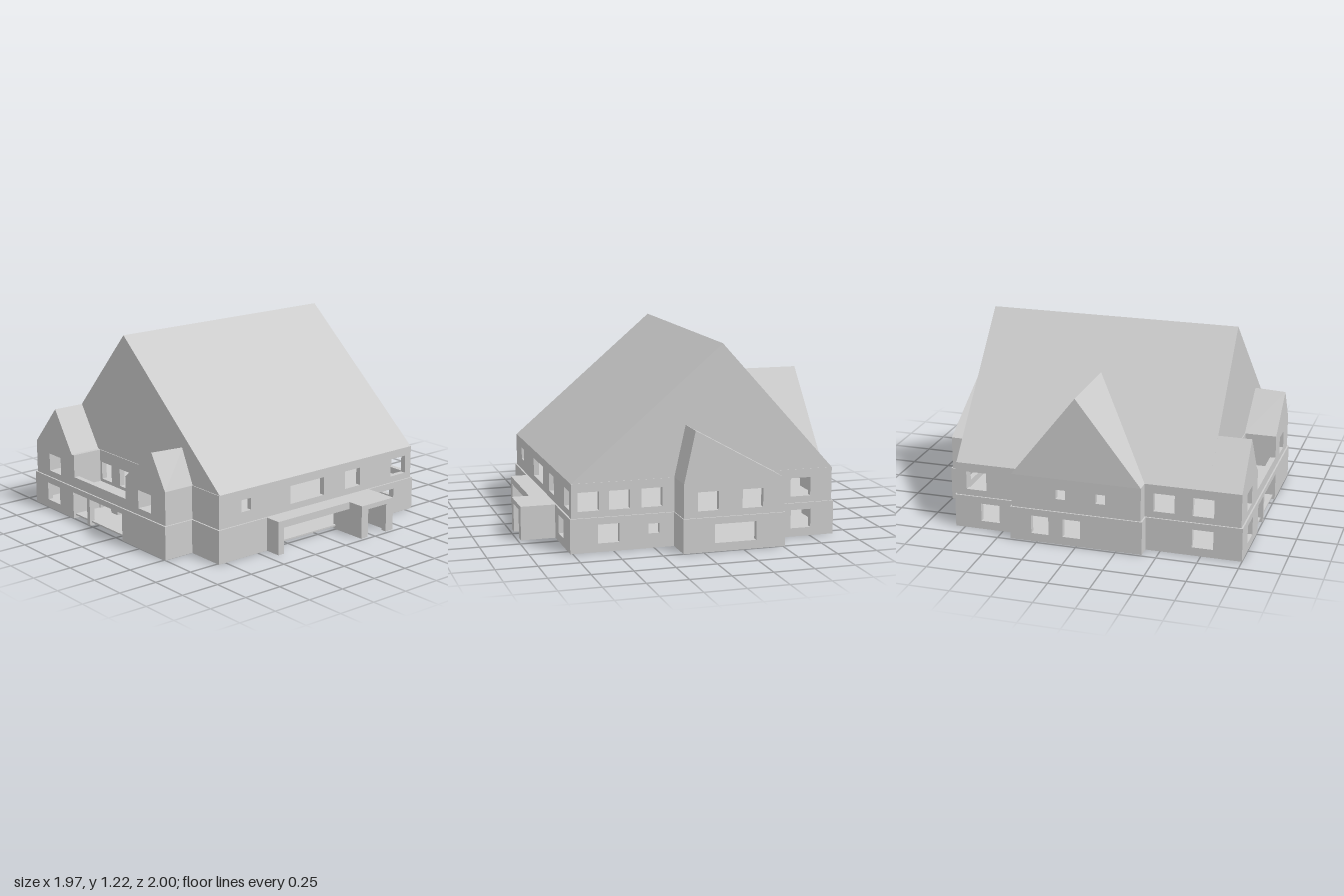
import * as THREE from 'three';
import { ConvexGeometry } from 'three/addons/geometries/ConvexGeometry.js';

const T = 0.035; // wall thickness
const mat = new THREE.MeshStandardMaterial({ color: 0xcccccc, flatShading: true });

export function createModel() {
  const house = new THREE.Group();
  house.name = 'house';

  const add = (name, geometry) => {
    const mesh = new THREE.Mesh(geometry, mat);
    mesh.name = name;
    house.add(mesh);
    return mesh;
  };

  // Wall panel from u0 to u1; openings are [u0, u1, y0, y1], those reaching the base become doorways
  const panel = (u0, u1, y0, y1, openings) => {
    const shape = new THREE.Shape();
    shape.moveTo(u0, y0);
    const sorted = [...openings].sort((a, b) => a[0] - b[0]);
    for (const [a, b, c, d] of sorted) {
      if (c <= y0) {
        shape.lineTo(a, y0);
        shape.lineTo(a, d);
        shape.lineTo(b, d);
        shape.lineTo(b, y0);
      } else {
        const hole = new THREE.Path();
        hole.moveTo(a, c);
        hole.lineTo(a, d);
        hole.lineTo(b, d);
        hole.lineTo(b, c);
        hole.closePath();
        shape.holes.push(hole);
      }
    }
    shape.lineTo(u1, y0);
    shape.lineTo(u1, y1);
    shape.lineTo(u0, y1);
    shape.closePath();
    return new THREE.ExtrudeGeometry(shape, { depth: T, bevelEnabled: false });
  };
  // facing = +1 or -1: the side of the wall that is outdoors, lying at the given coordinate
  const wallX = (name, x0, x1, z, facing, y0, y1, openings = []) =>
    add(name, panel(x0, x1, y0, y1, openings).translate(0, 0, facing > 0 ? z - T : z));
  const wallZ = (name, z0, z1, x, facing, y0, y1, openings = []) =>
    add(name, panel(z0, z1, y0, y1, openings).rotateY(-Math.PI / 2).translate(facing > 0 ? x : x + T, 0, 0));
  const box = (name, x0, x1, y0, y1, z0, z1) =>
    add(name, new THREE.BoxGeometry(x1 - x0, y1 - y0, z1 - z0)
      .translate((x0 + x1) / 2, (y0 + y1) / 2, (z0 + z1) / 2));
  const hull = (name, points) =>
    add(name, new ConvexGeometry(points.map((p) => new THREE.Vector3(...p))));

  // Window centred at u
  const win = (u, y, w = 0.13, h = 0.115) => [u - w / 2, u + w / 2, y - h / 2, y + h / 2];

  // Floor slab over the whole plan, pulled in by i
  const slab = (name, y, h, i) => {
    const L = -0.905 + i, R = 0.765 - i, B = -0.81 + i, F = 0.8 - i;
    const pts = [[L, 1 - i], [0.51 - i, 1 - i], [0.51 - i, F], [R, F], [R, B], [0.125 - i, B],
      [0.125 - i, -1 + i], [-0.515 + i, -1 + i], [-0.515 + i, B], [L, B],
      [L, -0.42 + i], [-0.985 + i, -0.42 + i], [-0.985 + i, 0.41 - i], [L, 0.41 - i]];
    const shape = new THREE.Shape(pts.map(([x, z]) => new THREE.Vector2(x, -z)));
    add(name, new THREE.ExtrudeGeometry(shape, { depth: h, bevelEnabled: false })
      .rotateX(-Math.PI / 2).translate(0, y, 0));
  };
  slab('groundFloor', 0.02, 0.01, 0.015);
  slab('upperFloor', 0.2, 0.01, 0);

  // Ground storey, slightly wider than the one above
  const g = [0, 0.21], gy = 0.11;
  wallX('lowerFrontWall', -0.905, 0.51, 1, 1, ...g,
    [win(-0.69, gy, 0.14), [-0.465, -0.31, 0, 0.175], [-0.28, 0.07, 0, 0.175]]);
  wallX('entranceWall', -0.465, 0.07, 0.8, 1, ...g,
    [[-0.455, -0.335, 0, 0.13], [-0.265, -0.13, 0, 0.13], [-0.075, 0.06, 0, 0.13]]);
  wallZ('entranceSideWall', 0.8, 1, -0.465, 1, ...g);
  wallZ('entranceSideWall', 0.8, 1, 0.07, -1, ...g);
  wallZ('lowerFrontReturn', 0.765, 1, 0.51, 1, ...g);
  wallX('lowerFrontRightWall', 0.475, 0.765, 0.8, 1, ...g);
  wallZ('lowerSideWall', -0.81, 0.8, 0.765, 1, ...g,
    [win(-0.575, gy), [-0.335, -0.245, 0, 0.13], [-0.15, 0.385, 0, 0.135]]);
  wallZ('garagePartition', -0.15, 0.43, 0.45, 1, 0.02, 0.21);
  wallX('lowerBackWall', 0.09, 0.765, -0.81, -1, ...g, [win(0.53, gy), win(0.25, 0.12, 0.07, 0.06)]);
  wallZ('lowerBackReturn', -1, -0.775, 0.125, 1, ...g);
  wallX('lowerBackBayWall', -0.515, 0.125, -1, -1, ...g, [win(-0.2, gy, 0.26)]);
  wallZ('lowerBackReturn', -1, -0.775, -0.515, -1, ...g);
  wallX('lowerBackWall', -0.905, -0.48, -0.81, -1, ...g, [win(-0.69, gy)]);
  wallZ('lowerLongWall', -0.81, -0.385, -0.905, -1, ...g, [win(-0.58, gy, 0.12)]);
  wallX('lowerBayReturn', -0.985, -0.87, -0.42, -1, ...g);
  wallZ('lowerBayWall', -0.42, 0.41, -0.985, -1, ...g, [win(-0.23, gy, 0.11), win(-0.03, gy, 0.11)]);
  wallX('lowerBayReturn', -0.985, -0.87, 0.41, 1, ...g);
  wallZ('lowerLongWall', 0.375, 1, -0.905, -1, ...g, [win(0.76, gy)]);

  // Upper storey
  const u = [0.21, 0.42], uy = 0.308;
  wallX('upperFrontLeftWall', -0.895, -0.46, 0.99, 1, ...u, [win(-0.68, uy)]);
  wallX('upperFrontRightWall', 0.1, 0.5, 0.99, 1, ...u, [win(0.295, uy)]);
  wallX('balconyParapet', -0.46, 0.1, 0.99, 1, 0.21, 0.275);
  wallX('balconyWall', -0.495, 0.135, 0.79, 1, ...u,
    [-0.388, -0.192, 0].map((x) => [x - 0.053, x + 0.053, 0.23, 0.342]));
  wallZ('balconySideWall', 0.76, 0.99, -0.46, 1, ...u);
  wallZ('balconySideWall', 0.76, 0.99, 0.1, -1, ...u);
  wallZ('upperFrontReturn', 0.755, 0.99, 0.5, 1, ...u);
  wallX('upperFrontRightReturn', 0.465, 0.755, 0.79, 1, ...u);
  wallZ('upperSideWall', -0.8, 0.79, 0.755, 1, ...u,
    [win(0.583, 0.32, 0.075, 0.075), win(0.098, uy, 0.275), win(-0.283, uy), win(-0.685, uy)]);
  wallX('upperBackWall', 0.085, 0.755, -0.8, -1, ...u, [win(0.65, uy), win(0.46, uy), win(0.26, uy)]);
  wallZ('upperBackReturn', -0.99, -0.765, 0.12, 1, ...u);
  wallX('upperBackBayWall', -0.51, 0.12, -0.99, -1, ...u, [win(-0.03, uy), win(-0.31, uy)]);
  wallZ('upperBackReturn', -0.99, -0.765, -0.51, -1, ...u);
  wallX('upperBackWall', -0.895, -0.475, -0.8, -1, ...u, [win(-0.69, uy)]);
  wallZ('upperLongWall', -0.8, -0.375, -0.895, -1, ...u, [win(-0.67, uy)]);
  wallX('upperBayReturn', -0.975, -0.86, -0.41, -1, ...u);
  wallZ('upperBayWall', -0.41, 0.4, -0.975, -1, ...u,
    [win(-0.1, 0.32, 0.06, 0.06), win(0.15, 0.32, 0.06, 0.06)]);
  wallX('upperBayReturn', -0.975, -0.86, 0.4, 1, ...u);
  wallZ('upperLongWall', 0.365, 0.99, -0.895, -1, ...u, [win(0.52, uy), win(0.76, uy)]);

  // Roofs: each is a closed solid standing on the eaves
  const e = 0.42;
  const gable = (name, section, z0, z1) =>
    hull(name, section.flatMap(([x, y, x2 = x]) => [[x, y, z0], [x2, y, z1]]));
  gable('mainRoof', [[-0.895, e], [-0.18, 1.215], [0.755, e]], -0.797, 0.785);
  gable('frontLeftRoof', [[-0.895, e], [-0.66, 0.68], [-0.485, e]], 0.7, 0.99);
  gable('frontRightRoof', [[0.1, e], [0.4, 0.632, 0.37], [0.5, e]], 0.78, 0.99);
  gable('backRoof', [[-0.51, e], [0.05, 0.735], [0.12, e]], -0.7, -0.99);
  hull('longSideDormer', [[-0.975, e, -0.41], [-0.975, e, 0.4], [-0.89, e, -0.41], [-0.89, e, 0.4],
    [-0.955, 0.93, -0.01], [-0.44, 0.93, -0.01]]);

  // Canopy and side porch
  box('canopyRoof', 0.765, 0.87, 0.165, 0.21, -0.15, 0.43);
  box('canopyEndWall', 0.765, 0.87, 0, 0.165, 0.385, 0.43);
  box('porchRoof', 0.765, 0.98, 0.18, 0.21, -0.42, -0.15);
  wallZ('porchFrontWall', -0.42, -0.15, 0.98, 1, 0, 0.2, [[-0.36, -0.205, 0, 0.18]]);
  wallX('porchSideWall', 0.765, 0.98, -0.15, 1, 0, 0.2);
  wallX('porchSideWall', 0.765, 0.98, -0.42, -1, 0, 0.2);

  return house;
}
